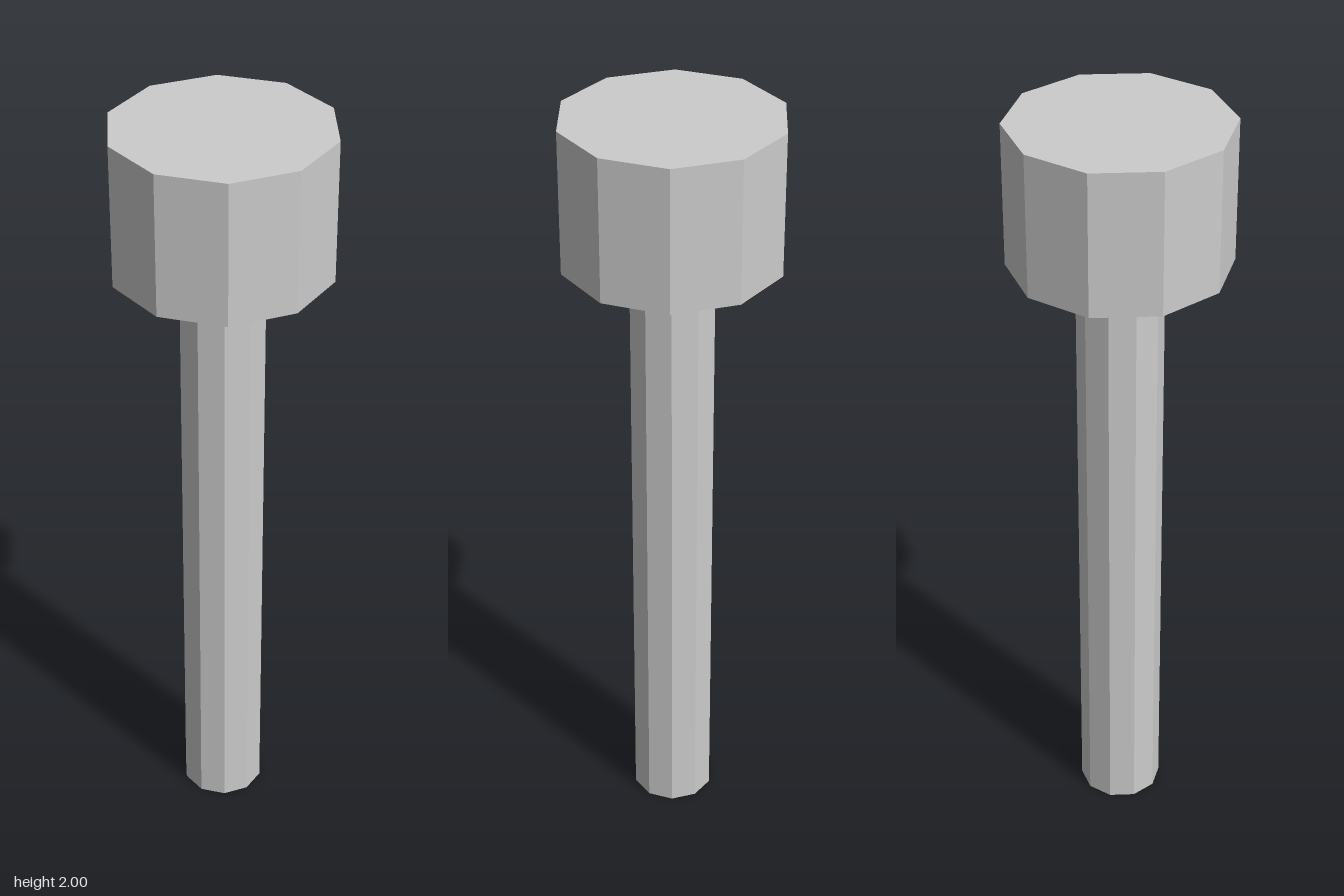
import * as THREE from 'three';

const SIDES = 10;
const HEAD_BASE = 1.636;

export function createModel() {
  const group = new THREE.Group();
  group.name = 'bolt';
  const material = new THREE.MeshStandardMaterial({ color: 0xcccccc, flatShading: true });

  // Ten-sided prism standing on y = bottom, with corners on the x axis
  const addPrism = (name, radius, bottom, top) => {
    const height = top - bottom;
    const geometry = new THREE.CylinderGeometry(radius, radius, height, SIDES, 1, false, Math.PI / 2);
    geometry.translate(0, bottom + height / 2, 0);
    const mesh = new THREE.Mesh(geometry, material);
    mesh.name = name;
    group.add(mesh);
  };

  addPrism('shaft', 0.108, 0, HEAD_BASE);
  addPrism('head', 0.275, HEAD_BASE, 2);
  return group;
}
